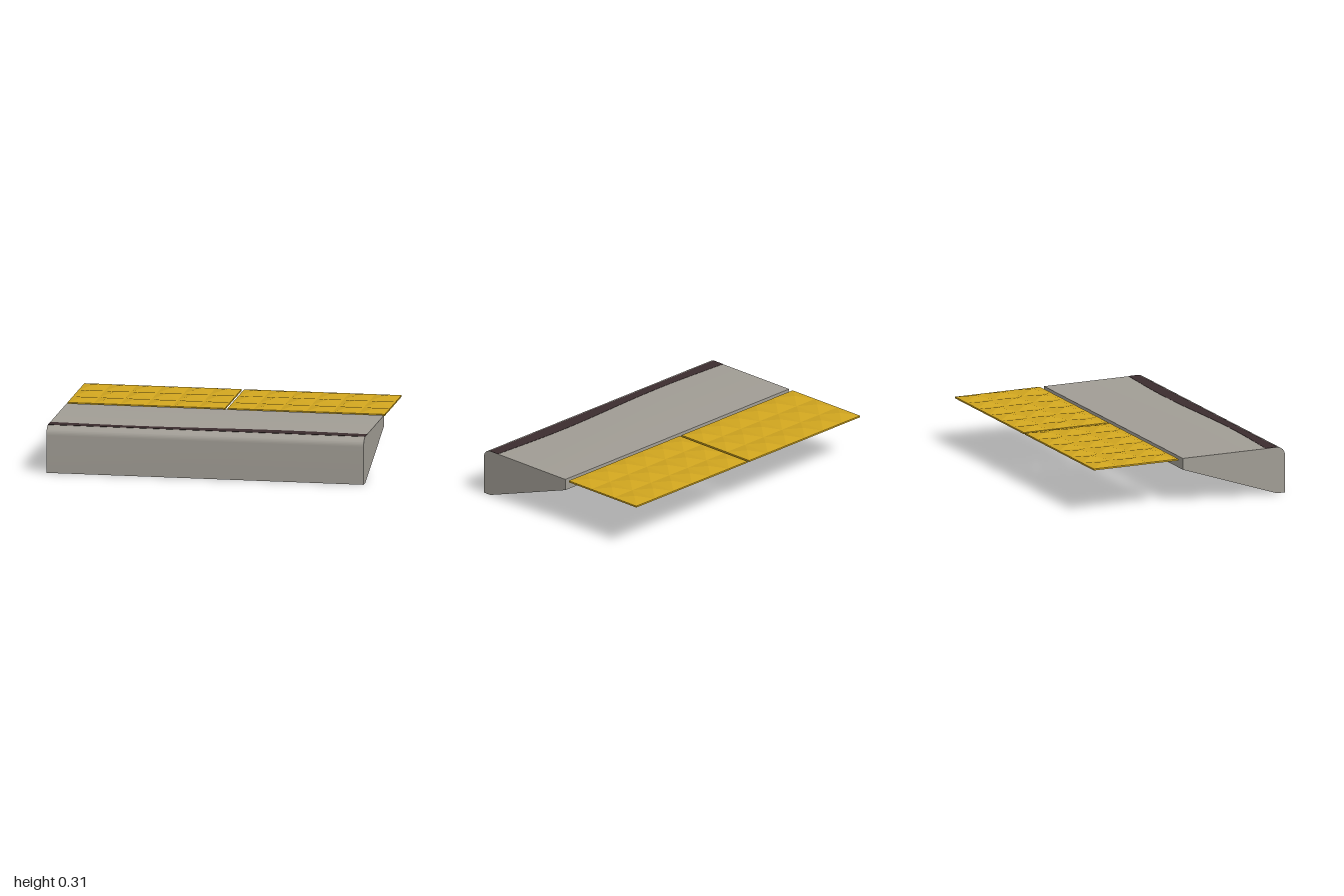
import * as THREE from 'three';
import { toCreasedNormals } from 'three/addons/utils/BufferGeometryUtils.js';

const material = (name, color, side = THREE.FrontSide) => {
  const m = new THREE.MeshStandardMaterial({ color, side });
  m.name = name;
  return m;
};

function part(name, geometry, mat) {
  const mesh = new THREE.Mesh(geometry, mat);
  mesh.name = name;
  return mesh;
}

// Wedge-shaped kerb stone with a rounded front nose, extruded along x
function kerbGeometry() {
  const s = new THREE.Shape();
  s.moveTo(0.6, 0);
  s.lineTo(0.657, 0);
  s.lineTo(0.657, 0.239);
  s.absarc(0.602, 0.239, 0.055, 0, Math.PI / 2, false);
  s.lineTo(-0.045, 0.294);
  s.lineTo(-0.045, 0.222);
  s.closePath();
  const g = new THREE.ExtrudeGeometry(s, { depth: 2, bevelEnabled: false, curveSegments: 10 });
  g.translate(0, 0, -1).rotateY(-Math.PI / 2);
  return toCreasedNormals(g, 0.3);
}

// Dark edge strip whose rear edge waves gently
function stripGeometry() {
  const s = new THREE.Shape();
  s.moveTo(-1, -0.606);
  s.lineTo(1, -0.606);
  for (let i = 40; i >= 0; i--) {
    const x = -1 + i / 20;
    s.lineTo(x, -(0.53 - 0.015 * Math.sin(3.5 * x)));
  }
  const g = new THREE.ExtrudeGeometry(s, { depth: 0.002, bevelEnabled: false });
  return g.rotateX(-Math.PI / 2).translate(0, 0.2935, 0);
}

// Open-bottomed tile: a grid of shallow pyramids with a thin rim
function tileGeometry(width, depth, cols, rows) {
  const base = 0.284, top = 0.294, peak = 0.31;
  const w = width / cols, d = depth / rows, pos = [];
  const tri = (...corners) => corners.forEach((c) => pos.push(...c));
  for (let i = 0; i < cols; i++) {
    for (let j = 0; j < rows; j++) {
      const x = -width / 2 + i * w, z = -depth / 2 + j * d;
      const apex = [x + w / 2, peak, z + d / 2];
      const ring = [[x, top, z], [x, top, z + d], [x + w, top, z + d], [x + w, top, z]];
      ring.forEach((c, k) => tri(c, ring[(k + 1) % 4], apex));
    }
  }
  // Rim
  const X = width / 2, Z = depth / 2;
  const loop = [[-X, -Z], [-X, Z], [X, Z], [X, -Z]];
  loop.forEach(([x0, z0], k) => {
    const [x1, z1] = loop[(k + 1) % 4];
    tri([x0, base, z0], [x1, base, z1], [x1, top, z1]);
    tri([x0, base, z0], [x1, top, z1], [x0, top, z0]);
  });
  const g = new THREE.BufferGeometry();
  g.setAttribute('position', new THREE.Float32BufferAttribute(pos, 3));
  g.computeVertexNormals();
  return g;
}

export function createModel() {
  const stone = material('grey stone', 0xa19d95);
  const dark = material('dark brown', 0x3c2d2f);
  const gold = material('golden yellow', 0xd0a51f, THREE.DoubleSide);

  const model = new THREE.Group();
  model.name = 'platformEdge';
  model.add(part('kerb', kerbGeometry(), stone));
  model.add(part('edgeStrip', stripGeometry(), dark));

  // Two tactile tiles side by side behind the kerb
  const tile = tileGeometry(0.992, 0.582, 6, 3);
  for (const side of [-1, 1]) {
    const mesh = part(side > 0 ? 'leftTile' : 'rightTile', tile, gold);
    mesh.position.set(side * 0.504, 0, -0.366);
    model.add(mesh);
  }
  return model;
}
